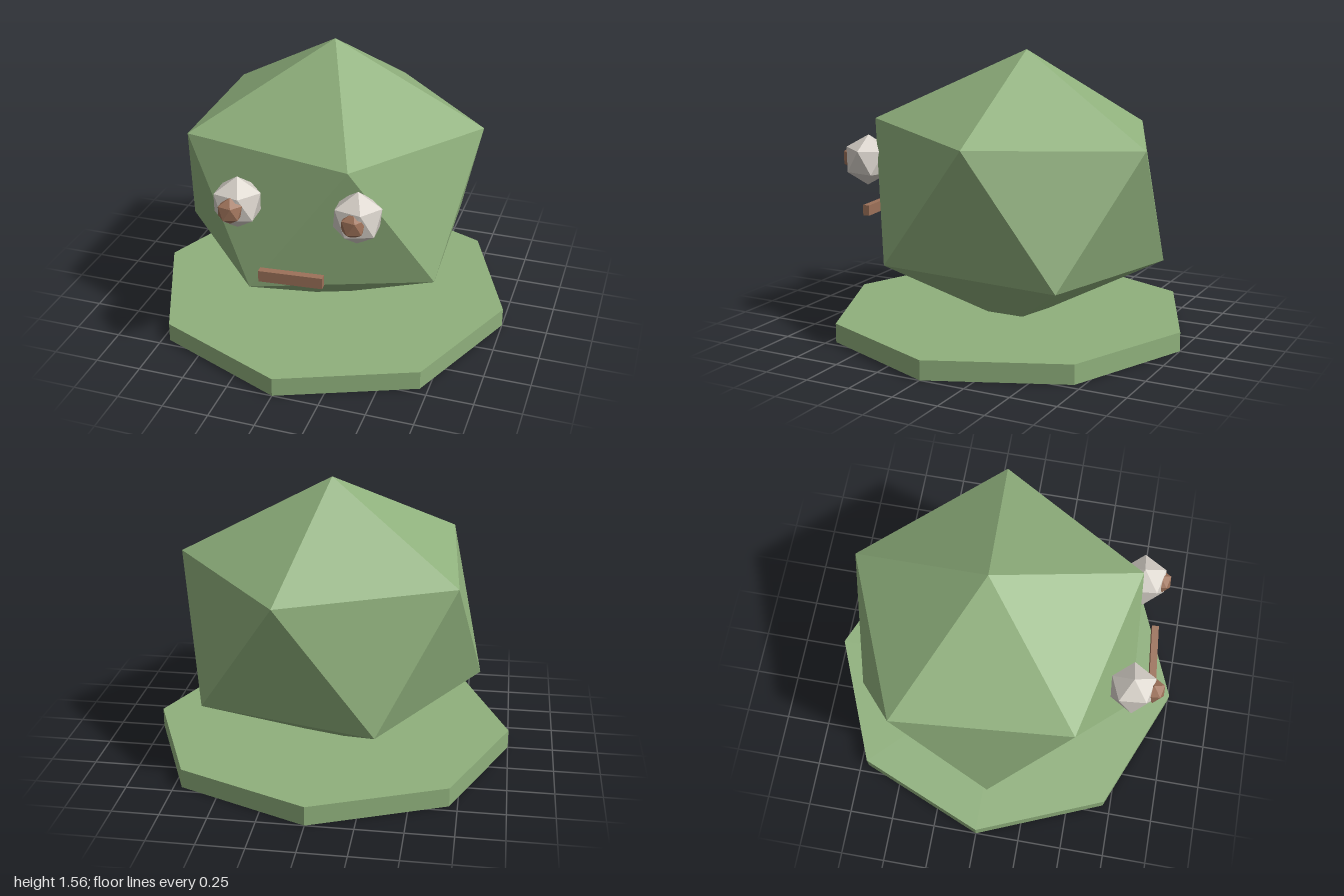
import * as THREE from 'three';
import { ConvexGeometry } from 'three/addons/geometries/ConvexGeometry.js';

const paint = (name, color) => {
  const m = new THREE.MeshStandardMaterial({ color });
  m.name = name;
  return m;
};

// Slightly tilted, vertically squashed icosahedron: upper half, mirrored through the centre
function tiltedIcosahedron() {
  const half = [
    [0, 0.775, -0.04],
    [0.19, 0.305, -0.81],
    [0.817, 0.346, -0.085],
    [0.313, 0.39, 0.735],
    [-0.63, 0.373, 0.515],
    [-0.7, 0.322, -0.445],
  ].map((p) => new THREE.Vector3(...p));
  return new ConvexGeometry([...half, ...half.map((p) => p.clone().negate())]);
}

export function createModel() {
  const group = new THREE.Group();
  group.name = 'blobOnBase';
  const green = paint('leafGreen', 0x8fb07c);
  const white = paint('eyeWhite', 0xd6d0c8);
  const brown = paint('brown', 0x9c7159);

  const add = (name, geometry, material, x, y, z) => {
    const mesh = new THREE.Mesh(geometry, material);
    mesh.name = name;
    mesh.position.set(x, y, z);
    group.add(mesh);
    return mesh;
  };

  // Octagonal base
  const disc = new THREE.CylinderGeometry(1, 1, 0.105, 8).toNonIndexed();
  disc.computeVertexNormals();
  add('base', disc, green, 0, 0.0525, 0);

  // Faceted body
  const ico = tiltedIcosahedron();
  add('body', ico, green, -0.01, 0.785, -0.045);

  // Eyes and pupils share the body's facets without the squash
  const ball = ico.clone().scale(1.06, 1.29, 1.06);
  ball.computeVertexNormals();
  for (const [side, x, eyeZ, pupilZ] of [['right', -0.262, 0.733, 0.84], ['left', 0.36, 0.705, 0.792]]) {
    add(side + 'Eye', ball, white, x, 0.95, eyeZ).scale.setScalar(0.141);
    add(side + 'Pupil', ball, brown, x + 0.004, 0.955, pupilZ).scale.setScalar(0.071);
  }

  // Mouth bar, turned slightly
  add('mouth', new THREE.BoxGeometry(0.33, 0.06, 0.038), brown, 0.056, 0.623, 0.837).rotation.y = 0.085;

  return group;
}
